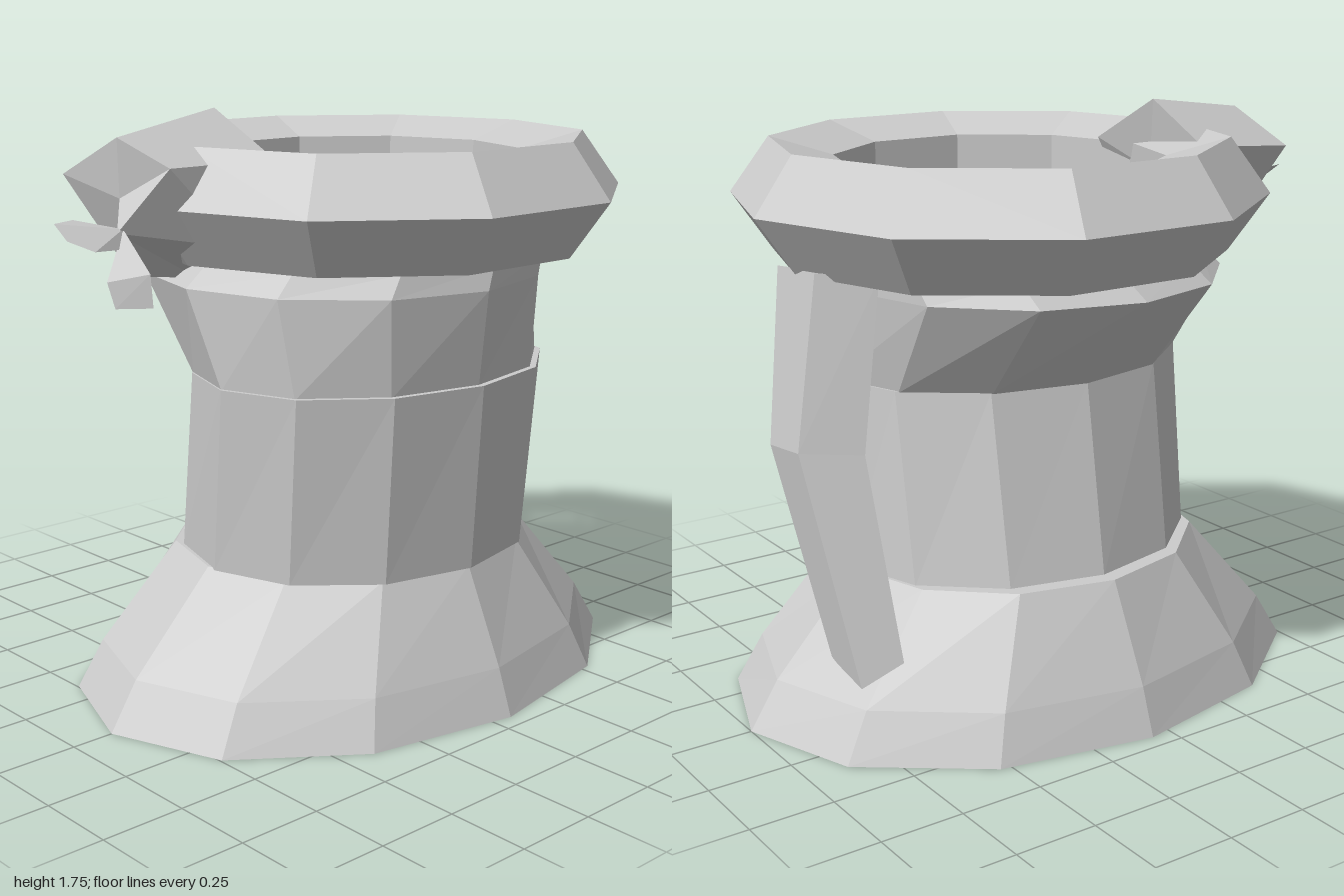
import * as THREE from 'three';
import { ConvexGeometry } from 'three/addons/geometries/ConvexGeometry.js';

const material = new THREE.MeshStandardMaterial({ color: 0xcccccc, flatShading: true });

// Skin a list of equal-length point loops, closing both ends with fans.
function loft(loops) {
  const out = [];
  const n = loops[0].length;
  const add = (...pts) => pts.forEach((p) => out.push(...p));
  for (let j = 0; j < loops.length - 1; j++) {
    for (let i = 0; i < n; i++) {
      const k = (i + 1) % n;
      const a = loops[j], b = loops[j + 1];
      add(a[i], b[i], a[k], a[k], b[i], b[k]);
    }
  }
  const middle = (loop) => [0, 1, 2].map((c) => loop.reduce((s, p) => s + p[c], 0) / n);
  const first = loops[0], last = loops[loops.length - 1];
  for (let i = 0; i < n; i++) {
    const k = (i + 1) % n;
    add(middle(first), first[i], first[k]);
    add(middle(last), last[k], last[i]);
  }
  const geometry = new THREE.BufferGeometry();
  geometry.setAttribute('position', new THREE.Float32BufferAttribute(out, 3));
  geometry.computeVertexNormals();
  return geometry;
}

// Horizontal twelve-sided oval given by height, centre and radii.
function oval([y, cx, cz, rx, rz]) {
  return Array.from({ length: 12 }, (_, i) => {
    const a = (i * Math.PI) / 6;
    return [cx + rx * Math.cos(a), y, cz + rz * Math.sin(a)];
  });
}

export function createModel() {
  const model = new THREE.Group();
  const part = (name, geometry) => {
    const mesh = new THREE.Mesh(geometry, material);
    mesh.name = name;
    model.add(mesh);
    return mesh;
  };

  // Flared foot
  part('flaredBase', loft([
    [0, 0.065, 0, 0.935, 0.7],
    [0.14, 0.065, 0, 0.845, 0.65],
    [0.425, 0.065, 0.005, 0.575, 0.515],
  ].map(oval)));

  // Lower body, leaning forward
  part('lowerBody', loft([
    [0.42, 0.065, 0.035, 0.575, 0.495],
    [0.985, 0.05, 0.115, 0.59, 0.465],
  ].map(oval)));

  // Upper body, flaring backward and closed by the shallow floor in the rim
  part('upperBody', loft([
    [0.98, 0.05, 0.105, 0.58, 0.455],
    [1.265, 0.035, 0.002, 0.605, 0.603],
    [1.33, 0.065, 0.03, 0.585, 0.565],
    [1.46, 0.062, 0, 0.49, 0.47],
  ].map(oval)));

  // Ten-sided faceted rim
  const profile = [[0.68, 1.33], [0.8, 1.5], [0.68, 1.665], [0.49, 1.61], [0.49, 1.42], [0.68, 1.33]];
  const rim = part('rim', new THREE.LatheGeometry(
    profile.map(([r, y]) => new THREE.Vector2(r, y)), 10, Math.PI / 2));
  rim.position.x = 0.12;

  // Bent side handle with a tapered four-sided section
  part('handle', loft([
    [[0.79, 0.19, -0.29], [0.79, 0.22, -0.12], [0.69, 0.36, 0.01], [0.68, 0.26, -0.34]],
    [[0.88, 0.86, -0.13], [0.875, 0.84, 0.05], [0.715, 0.825, 0.14], [0.72, 0.85, -0.22]],
    [[0.8, 1.355, -0.11], [0.8, 1.34, 0.11], [0.63, 1.285, 0.21], [0.65, 1.34, -0.2]],
  ]));

  // Ridged block clamped over the rim
  part('rimBlock', loft([
    [[-0.69, 1.62, 0.1], [-0.77, 1.7, -0.03], [-0.82, 1.59, -0.22], [-0.68, 1.3, -0.1], [-0.82, 1.45, 0.03]],
    [[-0.32, 1.62, 0.1], [-0.36, 1.755, -0.12], [-0.39, 1.63, -0.32], [-0.45, 1.27, -0.1], [-0.45, 1.38, 0.1]],
  ]));

  // Two small flared tufts fanning out of the block
  const knot = [[-0.8, 1.46, 0.03], [-0.81, 1.41, 0.06]];
  const mouths = [
    [[-1, 1.49, 0], [-0.92, 1.49, -0.03], [-1, 1.45, 0.06], [-0.94, 1.42, 0.1]],
    [[-0.91, 1.27, 0.14], [-0.83, 1.27, 0.2], [-0.83, 1.36, 0.19], [-0.92, 1.34, 0.12]],
  ];
  mouths.forEach((mouth, i) => part(i ? 'lowerTuft' : 'upperTuft', new ConvexGeometry(
    [...knot, ...mouth].map((p) => new THREE.Vector3(...p)))));

  return model;
}
